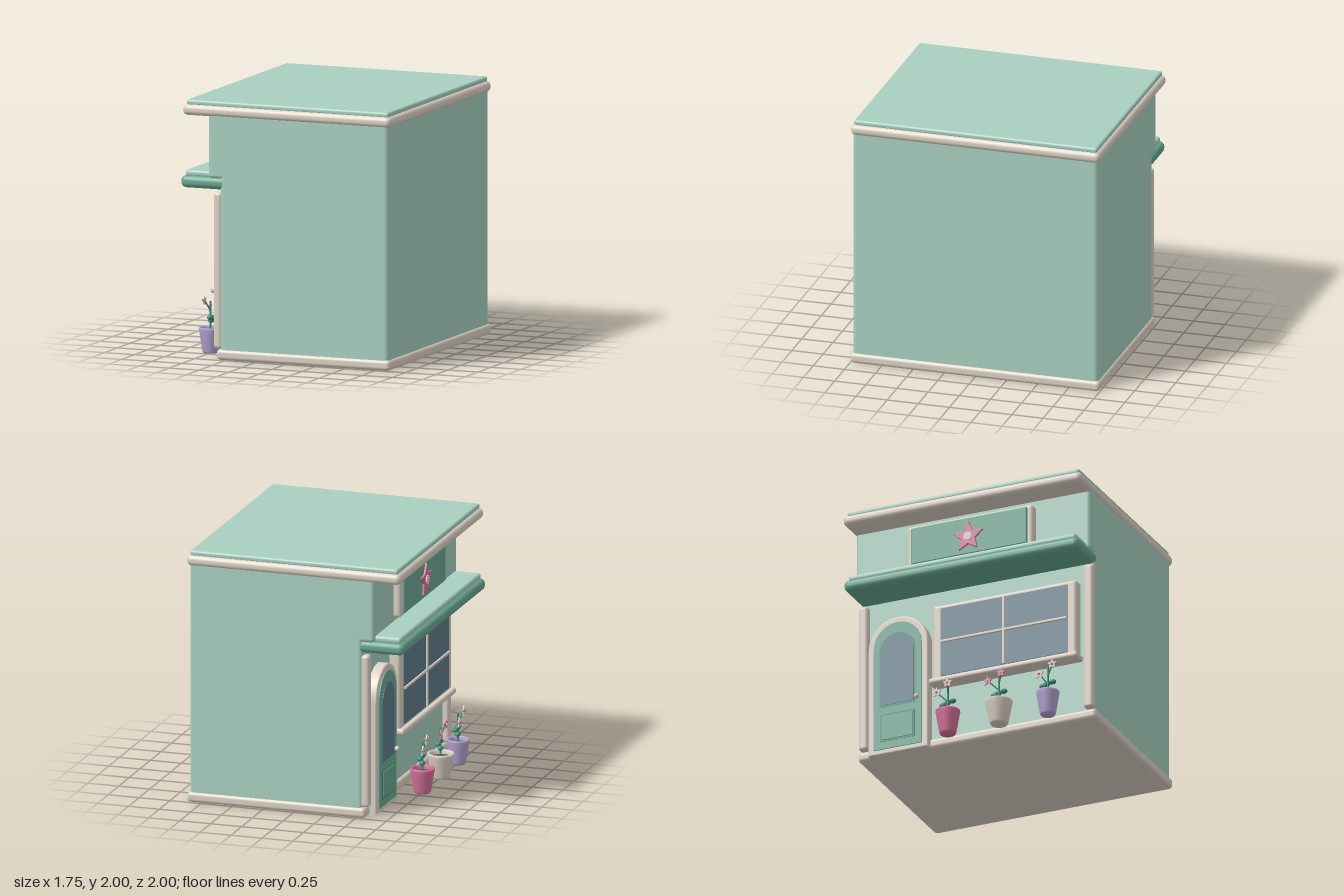
import * as THREE from 'three';
import { RoundedBoxGeometry } from 'three/addons/geometries/RoundedBoxGeometry.js';

const mat = (name, color) => {
  const m = new THREE.MeshStandardMaterial({ color });
  m.name = name;
  return m;
};

export function createModel() {
  const mint = mat('mint', 0xa8d0c0);
  const teal = mat('teal', 0x68a792);
  const cream = mat('cream', 0xddd2c5);
  const glass = mat('glass', 0x5f7e8b);
  const pink = mat('pink', 0xd9739a);
  const lilac = mat('lilac', 0xb3a5d3);
  const leafGreen = mat('leaf green', 0x43907a);
  const soilBrown = mat('soil', 0x6b5a50);

  const model = new THREE.Group();
  model.name = 'flowerShop';

  const add = (name, geometry, material, parent = model) => {
    const mesh = new THREE.Mesh(geometry, material);
    mesh.name = name;
    parent.add(mesh);
    return mesh;
  };

  // Rounded box given by its limits on each axis
  const block = (name, material, [x0, x1], [y0, y1], [z0, z1], radius) => {
    const m = add(name, new RoundedBoxGeometry(x1 - x0, y1 - y0, z1 - z0, 4, radius), material);
    m.position.set((x0 + x1) / 2, (y0 + y1) / 2, (z0 + z1) / 2);
    return m;
  };

  // Shape in (z, y), extruded from xBack towards the shop front (-x)
  const facade = (name, material, shape, xBack, depth, bevel = 0, parent = model) => {
    const geometry = new THREE.ExtrudeGeometry(shape, {
      depth: depth - bevel, curveSegments: 20, bevelEnabled: bevel > 0,
      bevelSize: bevel, bevelOffset: -bevel, bevelThickness: bevel, bevelSegments: 3,
    });
    const m = add(name, geometry, material, parent);
    m.rotation.y = -Math.PI / 2;
    m.position.x = xBack;
    return m;
  };

  const rect = (z0, z1, y0, y1) => new THREE.Shape([
    new THREE.Vector2(z0, y0), new THREE.Vector2(z1, y0),
    new THREE.Vector2(z1, y1), new THREE.Vector2(z0, y1)]);

  const arch = (zc, half, y0, spring) => {
    const s = new THREE.Shape();
    s.moveTo(zc - half, y0);
    s.lineTo(zc + half, y0);
    s.lineTo(zc + half, spring);
    s.absarc(zc, spring, half, 0, Math.PI, false);
    s.closePath();
    return s;
  };

  const star = (outer, inner, points = 5) => {
    const pts = [];
    for (let i = 0; i < points * 2; i++) {
      const a = Math.PI / 2 + (i * Math.PI) / points;
      const r = i % 2 ? inner : outer;
      pts.push(new THREE.Vector2(Math.cos(a) * r, Math.sin(a) * r));
    }
    return new THREE.Shape(pts);
  };

  // Walls, base and roof
  block('walls', mint, [-0.55, 0.85], [0.03, 1.92], [-0.985, 0.985], 0.035);
  block('upperWall', mint, [-0.645, -0.48], [1.4, 1.92], [-0.985, 0.985], 0.03);
  block('baseTrim', cream, [-0.575, 0.868], [0, 0.083], [-1, 1], 0.03);
  block('roofTrim', cream, [-0.858, 0.872], [1.88, 1.965], [-1, 1], 0.038);
  block('roof', mint, [-0.832, 0.848], [1.955, 2], [-0.975, 0.975], 0.018);

  // Awning
  block('awning', teal, [-0.88, -0.5], [1.315, 1.41], [-0.985, 0.985], 0.042);
  block('awningTop', mint, [-0.85, -0.53], [1.4, 1.452], [-0.955, 0.955], 0.022);

  // Corner pilasters
  for (const side of [-1, 1]) {
    const z = side * 0.945;
    block('pilaster', cream, [-0.602, -0.535], [0.085, 1.295], [z - 0.04, z + 0.04], 0.025);
  }

  // Sign with star emblem
  block('signFrame', cream, [-0.705, -0.6], [1.48, 1.84], [-0.53, 0.53], 0.03);
  block('signPanel', teal, [-0.722, -0.69], [1.51, 1.815], [-0.485, 0.485], 0.008);
  facade('signStar', pink, star(0.13, 0.062), -0.72, 0.018, 0.004).position.y = 1.65;
  const starCentre = add('starCentre', new THREE.CylinderGeometry(0.035, 0.035, 0.012, 20), cream);
  starCentre.rotation.z = Math.PI / 2;
  starCentre.position.set(-0.741, 1.65, 0);

  // Arched door
  const doorZ = -0.635;
  facade('doorFrame', cream, arch(doorZ, 0.25, 0, 0.89), -0.545, 0.085, 0.012);
  facade('door', teal, arch(doorZ, 0.2, 0.04, 0.89), -0.63, 0.008);
  facade('doorWindowRim', leafGreen, arch(doorZ, 0.152, 0.39, 0.85), -0.637, 0.003);
  facade('doorWindow', glass, arch(doorZ, 0.138, 0.405, 0.85), -0.639, 0.004);
  facade('doorPanelEdge', leafGreen, rect(doorZ - 0.145, doorZ + 0.145, 0.1, 0.33), -0.637, 0.004);
  facade('doorPanel', teal, rect(doorZ - 0.13, doorZ + 0.13, 0.115, 0.315), -0.639, 0.009);
  add('doorKnob', new THREE.SphereGeometry(0.02, 16, 12), cream).position.set(-0.655, 0.425, -0.47);

  // Shop window
  block('windowFrame', cream, [-0.637, -0.54], [0.5, 1.165], [-0.345, 0.865], 0.025);
  facade('windowGlass', glass, rect(-0.27, 0.79, 0.56, 1.13), -0.636, 0.007);
  block('windowBarUpright', cream, [-0.657, -0.635], [0.56, 1.13], [0.25, 0.27], 0.004);
  block('windowBarLevel', cream, [-0.657, -0.635], [0.84, 0.86], [-0.27, 0.79], 0.004);
  block('windowSill', cream, [-0.675, -0.54], [0.497, 0.545], [-0.365, 0.885], 0.02);

  // Potted flowers: z, rim radius, pot colour, petal colour, flowers as [z, y]
  const pots = [
    [-0.16, 0.096, pink, cream, [[0.01, 0.42], [-0.08, 0.355]]],
    [0.27, 0.106, cream, pink, [[0.03, 0.42], [-0.08, 0.37]]],
    [0.68, 0.09, lilac, cream, [[0.05, 0.41], [-0.06, 0.345]]],
  ];
  for (const [z, r, potColour, petalColour, flowers] of pots) {
    const plant = new THREE.Group();
    plant.name = 'pottedPlant';
    plant.position.set(-0.755, 0, z);
    model.add(plant);

    const profile = [[0, 0], [0.6, 0], [0.69, 0.015], [0.94, 0.16], [1, 0.185], [0.98, 0.198],
      [0.84, 0.198], [0.8, 0.185], [0.75, 0.15]].map(([k, y]) => new THREE.Vector2(k * r, y));
    add('pot', new THREE.LatheGeometry(profile, 28), potColour, plant);
    add('soil', new THREE.CylinderGeometry(r * 0.79, r * 0.74, 0.02, 24), soilBrown, plant).position.y = 0.155;

    add('stem', new THREE.CylinderGeometry(0.008, 0.008, 0.24, 8), leafGreen, plant).position.y = 0.28;
    for (const [lx, ly, lz] of [[0.012, 0.28, 0.035], [-0.01, 0.245, -0.035], [0.015, 0.27, -0.015]]) {
      const leaf = add('leaf', new THREE.SphereGeometry(0.025, 12, 8), leafGreen, plant);
      leaf.position.set(lx, ly, lz);
      leaf.scale.set(0.9, 0.8, 1.2);
    }
    for (const [fz, fy] of flowers) {
      const twig = new THREE.LineCurve3(new THREE.Vector3(0, fy - 0.08, 0), new THREE.Vector3(-0.028, fy, fz));
      add('twig', new THREE.TubeGeometry(twig, 1, 0.006, 6), leafGreen, plant);
      const bloom = facade('bloom', petalColour, star(0.042, 0.02), -0.026, 0.01, 0, plant);
      bloom.position.set(-0.026, fy, fz);
      const eye = petalColour === cream ? pink : cream;
      add('bloomCentre', new THREE.SphereGeometry(0.011, 10, 8), eye, plant).position.set(-0.036, fy, fz);
    }
  }
  return model;
}
